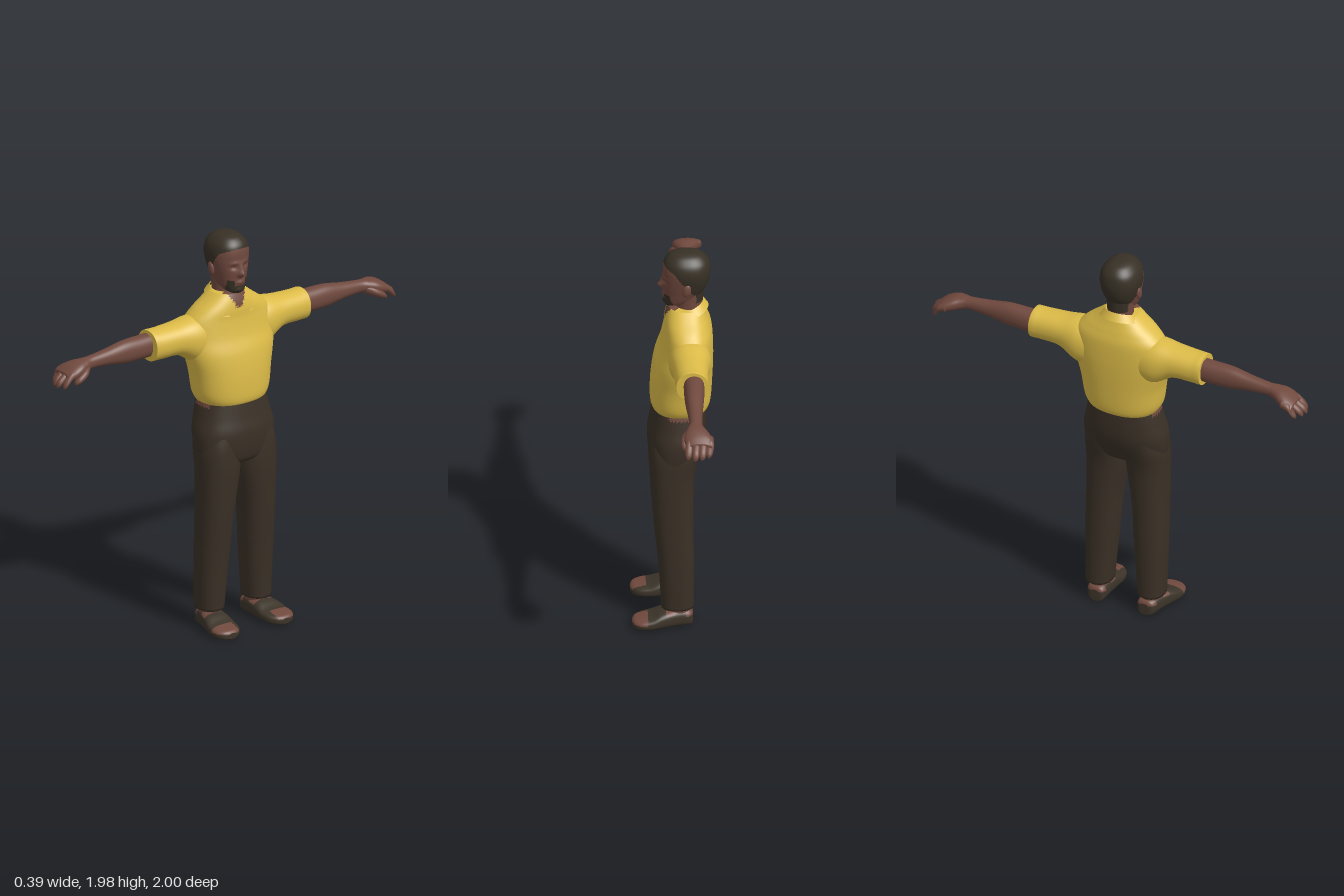
import * as THREE from 'three';

const mat = (name, color, side = THREE.FrontSide) => {
  const m = new THREE.MeshStandardMaterial({ color, side });
  m.name = name;
  return m;
};

// Smooth loft along an axis (0 x, 1 y, 2 z).
// Section: [t, a, b, radiusA, radiusB], where a and b are the next two axes in cyclic order.
function loft(axis, sections, n = 2, steps = 8, around = 56) {
  const pos = [], index = [];
  const put = (t, a, b) => {
    const p = [0, 0, 0];
    p[axis] = t; p[(axis + 1) % 3] = a; p[(axis + 2) % 3] = b;
    pos.push(...p);
  };
  const last = sections.length - 1;
  const at = (i) => sections[Math.max(0, Math.min(last, i))];
  const rows = last * steps;
  let s;
  for (let r = 0; r <= rows; r++) {
    const i = Math.min(last - 1, Math.floor(r / steps)), f = r / steps - i;
    s = at(i).map((p1, k) => {
      const p0 = at(i - 1)[k], p2 = at(i + 1)[k], p3 = at(i + 2)[k];
      return p1 + 0.5 * f * (p2 - p0 + f * (2 * p0 - 5 * p1 + 4 * p2 - p3 + f * (3 * (p1 - p2) + p3 - p0)));
    });
    for (let j = 0; j < around; j++) {
      const q = (j / around) * Math.PI * 2, c = Math.cos(q), d = Math.sin(q);
      put(s[0], s[1] + s[3] * Math.sign(c) * Math.abs(c) ** (2 / n),
        s[2] + s[4] * Math.sign(d) * Math.abs(d) ** (2 / n));
    }
  }
  const first = (rows + 1) * around;
  put(at(0)[0], at(0)[1], at(0)[2]);
  put(at(last)[0], at(last)[1], at(last)[2]);
  for (let j = 0; j < around; j++) {
    const k = (j + 1) % around, top = rows * around;
    for (let r = 0; r < rows; r++) {
      const u = r * around, v = u + around;
      index.push(u + j, u + k, v + k, u + j, v + k, v + j);
    }
    index.push(first, k, j, first + 1, top + j, top + k);
  }
  const g = new THREE.BufferGeometry();
  g.setAttribute('position', new THREE.Float32BufferAttribute(pos, 3));
  g.setIndex(index);
  g.computeVertexNormals();
  return g;
}

// Sort faces into two material groups: those where rule(x, y, z) is true come second.
function split(g, rule) {
  const p = g.attributes.position, src = g.index.array, sets = [[], []];
  for (let i = 0; i < src.length; i += 3) {
    const f = [src[i], src[i + 1], src[i + 2]];
    const mid = (get) => (get(f[0]) + get(f[1]) + get(f[2])) / 3;
    sets[rule(mid((v) => p.getX(v)), mid((v) => p.getY(v)), mid((v) => p.getZ(v))) ? 1 : 0].push(...f);
  }
  g.setIndex([...sets[0], ...sets[1]]);
  g.addGroup(0, sets[0].length, 0);
  g.addGroup(sets[0].length, sets[1].length, 1);
  return g;
}

// Move vertices by a rule
function warp(g, rule) {
  const p = g.attributes.position, v = new THREE.Vector3();
  for (let i = 0; i < p.count; i++) {
    rule(v.fromBufferAttribute(p, i));
    p.setXYZ(i, v.x, v.y, v.z);
  }
  g.computeVertexNormals();
  return g;
}

// Copy to the other side in z, keeping faces outward
function mirrored(g) {
  const m = g.clone().scale(1, 1, -1), a = m.index.array;
  for (let i = 0; i < a.length; i += 3) [a[i], a[i + 1]] = [a[i + 1], a[i]];
  m.computeVertexNormals();
  return m;
}

export function createModel() {
  const model = new THREE.Group();
  model.name = 'standingMan';
  const skin = mat('skin', 0x70493e);
  const yellow = mat('yellowShirt', 0xdcbb48, THREE.DoubleSide);
  const brown = mat('brownTrousers', 0x3a3026);
  const dark = mat('darkHair', 0x373025);
  const shoeBrown = mat('shoeBrown', 0x3c3429);

  const add = (name, g, m) => {
    const mesh = new THREE.Mesh(g, m);
    mesh.name = name;
    model.add(mesh);
  };
  const pair = (name, g, m) => {
    add(name + 'A', g, m);
    add(name + 'B', mirrored(g), m);
  };

  // Shirt body with open neck
  const torso = loft(1, [
    [1.145, 0, -0.036, 0.165, 0.122], [1.157, 0, -0.038, 0.178, 0.138], [1.2, 0, -0.04, 0.197, 0.146],
    [1.3, 0, -0.045, 0.213, 0.147], [1.4, 0, -0.055, 0.238, 0.141], [1.48, 0, -0.069, 0.245, 0.127],
    [1.56, 0, -0.075, 0.232, 0.116], [1.61, 0, -0.07, 0.188, 0.107], [1.65, 0, -0.066, 0.135, 0.096],
    [1.69, 0, -0.066, 0.085, 0.082]], 2.3);
  add('shirtBody', split(torso, (x, y, z) => x > -0.03 && y > 1.605 && Math.abs(z) < (y - 1.605) * 0.6), [yellow, skin]);

  // Short sleeves
  pair('sleeve', loft(2, [
    [0.1, -0.08, 1.47, 0.09, 0.1], [0.2, -0.08, 1.475, 0.102, 0.115], [0.3, -0.08, 1.497, 0.086, 0.081],
    [0.4, -0.081, 1.497, 0.079, 0.076], [0.44, -0.083, 1.497, 0.077, 0.077], [0.458, -0.083, 1.497, 0.076, 0.076]], 2.2), yellow);

  // Folded collar, open at the front with pointed tips
  const collar = warp(new THREE.PlaneGeometry(1, 1, 64, 6), (v) => {
    const q = 0.28 + (v.x + 0.5) * (2 * Math.PI - 0.56), d = 0.5 - v.y;
    const front = (1 + Math.cos(q)) / 2, tip = front ** 4;
    const y = 1.718 - 0.06 * front - d * (0.035 + 0.04 * tip);
    v.set(-0.066 + Math.cos(q) * (0.083 + 0.025 * d), y, Math.sin(q) * (0.08 + (0.03 + 0.12 * tip) * d));
  });
  add('collar', collar, yellow);

  // Trousers: hips and legs, with bare skin at the sides of the waist
  const hips = loft(1, [
    [0.835, 0, 0, 0.14, 0.06], [0.86, 0, -0.002, 0.195, 0.1], [0.91, 0, -0.008, 0.21, 0.122],
    [1.0, 0, -0.02, 0.213, 0.138], [1.08, 0, -0.03, 0.195, 0.135], [1.17, 0, -0.037, 0.173, 0.128]], 2.3);
  add('hips', split(hips, (x, y, z) => y > 1.135 && Math.abs(x + 0.032) < 0.052 && Math.abs(z) > 0.1), [brown, skin]);
  pair('trouserLeg', loft(1, [
    [0.1, 0.139, -0.022, 0.065, 0.078], [0.25, 0.135, -0.018, 0.073, 0.082], [0.4, 0.13, -0.012, 0.08, 0.088],
    [0.6, 0.122, -0.002, 0.087, 0.097], [0.8, 0.108, 0.002, 0.102, 0.107], [0.92, 0.106, -0.009, 0.103, 0.117],
    [1.0, 0.1, -0.02, 0.088, 0.12]], 2.3), brown);

  // Ankles and open shoes
  pair('ankle', loft(1, [[0.04, 0.138, -0.025, 0.045, 0.055], [0.13, 0.138, -0.022, 0.05, 0.06]], 2), skin);
  const shoe = loft(0, [
    [-0.095, 0.035, 0.132, 0.03, 0.025], [-0.08, 0.041, 0.134, 0.041, 0.045], [-0.02, 0.046, 0.14, 0.046, 0.056],
    [0.05, 0.042, 0.149, 0.042, 0.069], [0.1, 0.032, 0.154, 0.032, 0.076], [0.15, 0.027, 0.158, 0.027, 0.07],
    [0.182, 0.024, 0.16, 0.023, 0.048], [0.195, 0.022, 0.16, 0.014, 0.022]], 2.8);
  pair('shoe', split(shoe, (x, y, z) =>
    (x > 0.12 && y > 0.032 && z > 0.115) || (x > -0.01 && x < 0.035 && y > 0.07) || (x < -0.06 && y > 0.058)),
  [shoeBrown, skin]);

  // Forearms running into the palms
  pair('arm', loft(2, [
    [0.4, -0.09, 1.5, 0.048, 0.058], [0.5, -0.09, 1.498, 0.049, 0.058], [0.6, -0.088, 1.498, 0.044, 0.056],
    [0.7, -0.088, 1.497, 0.036, 0.04], [0.8, -0.088, 1.494, 0.031, 0.031], [0.84, -0.087, 1.489, 0.042, 0.033],
    [0.88, -0.092, 1.481, 0.06, 0.036], [0.92, -0.1, 1.468, 0.068, 0.033], [0.955, -0.103, 1.453, 0.058, 0.024]], 2.2), skin);
  // Curled fingers and thumb
  [0.973, 0.994, 1, 0.985].forEach((end, i) => {
    const x = -0.152 + i * 0.033;
    pair('finger' + (i + 1), loft(2, [
      [0.9, x, 1.475, 0.018, 0.02], [0.94, x, 1.461, 0.019, 0.02],
      [end - 0.014, x + 0.004, 1.433, 0.017, 0.018], [end, x + 0.006, 1.419, 0.008, 0.009]], 2, 5, 16), skin);
  });
  pair('thumb', loft(2, [
    [0.82, -0.072, 1.48, 0.018, 0.02], [0.86, -0.045, 1.464, 0.024, 0.022],
    [0.905, -0.034, 1.442, 0.019, 0.018], [0.925, -0.036, 1.43, 0.009, 0.009]], 2, 5, 18), skin);

  // Neck, with hair at the nape
  const neck = loft(1, [
    [1.58, 0, -0.07, 0.07, 0.07], [1.66, 0, -0.08, 0.064, 0.064],
    [1.72, 0, -0.083, 0.064, 0.065], [1.8, 0, -0.085, 0.07, 0.068]], 2);
  add('neck', split(neck, (x, y) => x < -0.115 && y > 1.722), [skin, dark]);

  // Head with modelled brow, eyes, nose and lips
  const bump = (v, y, z, h, sy, sz) => h * Math.exp(-(((v.y - y) / sy) ** 2) - ((Math.abs(v.z) - z) / sz) ** 2);
  const head = warp(loft(1, [
    [1.695, 0, 0.005, 0.028, 0.026], [1.71, 0, -0.015, 0.052, 0.053], [1.735, 0, -0.036, 0.066, 0.077],
    [1.77, 0, -0.052, 0.077, 0.095], [1.81, 0, -0.063, 0.088, 0.108], [1.86, 0, -0.07, 0.098, 0.113],
    [1.9, 0, -0.07, 0.098, 0.113], [1.935, 0, -0.069, 0.087, 0.104], [1.963, 0, -0.068, 0.062, 0.078],
    [1.976, 0, -0.068, 0.035, 0.045], [1.98, 0, -0.068, 0.008, 0.01]], 2.2, 8, 96), (v) => {
    if (v.x < -0.02) return;
    v.x += bump(v, 1.798, 0, 0.024, 0.016, 0.016) + bump(v, 1.825, 0, 0.012, 0.022, 0.011)
      + bump(v, 1.852, 0.03, 0.005, 0.01, 0.025) - bump(v, 1.832, 0.034, 0.009, 0.011, 0.016)
      + bump(v, 1.752, 0, 0.008, 0.012, 0.025) + bump(v, 1.712, 0, 0.006, 0.014, 0.03);
  });
  const hairline = (x) => (x < -0.045 ? 1.85 + (x + 0.045) * 1.25
    : x < -0.01 ? 1.85 + (x + 0.045) * 1.43 : 1.9 + (x + 0.01) * 0.45);
  add('head', split(head, (x, y, z) => y > hairline(x)
    || (x > -0.005 && y < 1.765 && Math.abs(z) < 0.058 && !(Math.abs(z) < 0.03 && y > 1.735))), [skin, dark]);

  // Ears
  const ear = new THREE.SphereGeometry(1, 20, 14).scale(0.02, 0.034, 0.012).rotateZ(0.2).translate(-0.068, 1.812, 0.092);
  pair('ear', ear, skin);

  return model;
}
